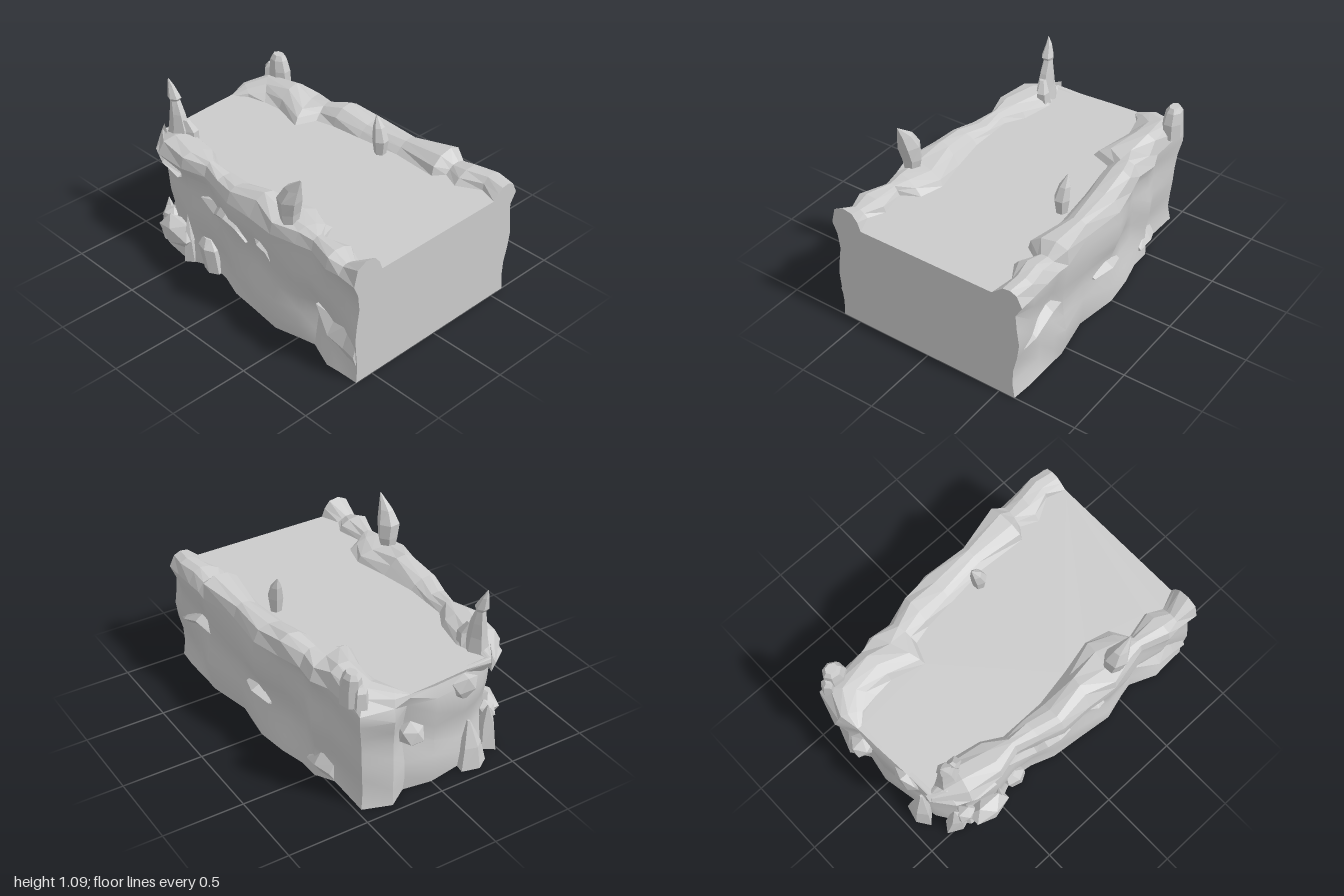
import * as THREE from 'three';
import { toCreasedNormals } from 'three/addons/utils/BufferGeometryUtils.js';

const FLOOR = 0.69;
const smoothMat = new THREE.MeshStandardMaterial({ color: 0xcccccc, side: THREE.DoubleSide });
const rockMat = new THREE.MeshStandardMaterial({ color: 0xcccccc, side: THREE.DoubleSide, flatShading: true });
const lerp = THREE.MathUtils.lerp;

// Plan of the cliff, running front -> left end -> back:
// outer x, z and inner x, z, then an optional undercut of the wall
const plan = [
  [1, 0.65, 1, 0.44], [0.87, 0.63, 0.88, 0.49], [0.78, 0.64, 0.78, 0.44], [0.61, 0.59, 0.61, 0.48], [0.5, 0.62, 0.55, 0.37],
  [0.34, 0.65, 0.4, 0.33], [0.15, 0.62, 0.18, 0.38], [-0.05, 0.61, -0.05, 0.42], [-0.2, 0.57, -0.2, 0.42],
  [-0.34, 0.54, -0.34, 0.42], [-0.5, 0.58, -0.46, 0.35], [-0.72, 0.57, -0.66, 0.31, 0.03], [-0.89, 0.42, -0.85, 0.37, 0.07],
  [-0.89, 0.22, -0.86, 0.22, -0.01], [-0.91, 0, -0.88, 0, -0.03], [-0.92, -0.18, -0.88, -0.18, 0.02], [-0.95, -0.3, -0.82, -0.23, -0.03],
  [-0.92, -0.5, -0.7, -0.26], [-0.61, -0.51, -0.58, -0.27], [-0.5, -0.56, -0.37, -0.21], [-0.36, -0.54, -0.32, -0.34],
  [-0.2, -0.58, -0.2, -0.37], [0, -0.63, 0, -0.39], [0.28, -0.61, 0.28, -0.42], [0.56, -0.66, 0.58, -0.4],
  [0.64, -0.64, 0.63, -0.47], [0.75, -0.64, 0.74, -0.42], [0.88, -0.65, 0.88, -0.5], [1, -0.66, 1, -0.46, 0.02],
];
// Wall rows: height, inset from the rim outline
const wallRows = [[0, -0.03], [0.1, -0.035], [0.2, -0.04], [0.3, -0.04], [0.4, -0.03], [0.5, -0.02], [0.6, -0.01], [0.67, 0]];
// Rim rows: share of the way inward, share of the rise above the floor
const rimRows = [[0.12, 0.72], [0.36, 1], [0.66, 0.9], [0.87, 0.5], [1, 0]];

function column([ox, oz, ix, iz, undercut = 0], i) {
  const width = Math.hypot(ox - ix, oz - iz);
  const dx = (ox - ix) / width, dz = (oz - iz) / width;
  // Wide rims stand tall and bumpy, the narrow left end stays level
  const bump = width > 0.1 ? 0.025 * Math.cos(i * 2.1) : 0;
  const rise = Math.max(0, Math.min(0.085, 0.55 * (width - 0.05))) + bump;
  const wall = wallRows.map(([y, inset], j) => {
    const wobble = 0.016 * Math.sin(i * 1.3 + j * 0.8) + 0.012 * Math.sin(i * 0.7 - j * 1.5);
    const d = j < 7 ? inset + wobble - undercut : wobble * 0.4;
    return [ox + dx * d, y, oz + dz * d];
  });
  const rim = rimRows.map(([t, k], j) => {
    const s = j < 4 ? t + 0.07 * Math.sin(i * 2.3 + j * 0.9) : t;
    return [lerp(ox, ix, s), FLOOR + rise * k, lerp(oz, iz, s)];
  });
  return [...wall, ...rim];
}

// Joins rows of points into a skin; a closed skin also wraps and caps its rings
function skin(rings, closed) {
  const n = rings[0].length, idx = [];
  for (let i = 0; i < rings.length - 1; i++) {
    for (let j = 0; j < (closed ? n : n - 1); j++) {
      const a = i * n + j, b = i * n + (j + 1) % n;
      idx.push(a, b, b + n, a, b + n, a + n);
    }
  }
  if (closed) {
    const e = (rings.length - 1) * n;
    for (let j = 1; j < n - 1; j++) idx.push(0, j + 1, j, e, e + j, e + j + 1);
  }
  const g = new THREE.BufferGeometry();
  g.setAttribute('position', new THREE.Float32BufferAttribute(rings.flat(2), 3));
  g.setIndex(idx);
  g.computeVertexNormals();
  return g;
}

function createModel() {
  const model = new THREE.Group();
  const add = (name, geometry, material = rockMat) => {
    const mesh = new THREE.Mesh(geometry, material);
    mesh.name = name;
    model.add(mesh);
    return mesh;
  };

  // Smooth cliff walls, open underneath, with a chiselled rim on top
  const columns = plan.map(column);
  add('cliffWall', toCreasedNormals(skin(columns.map(c => c.slice(0, 8)), false), 0.6), smoothMat);
  add('cliffRim', skin(columns.map(c => c.slice(7)), false));

  // Flat ground between the rims
  const ground = new THREE.Shape(plan.map(p => new THREE.Vector2(p[2], -p[3])));
  add('ground', new THREE.ShapeGeometry(ground).rotateX(-Math.PI / 2).translate(0, FLOOR, 0), smoothMat);

  // Flat cut end
  const cut = [...columns[0], ...[...columns[columns.length - 1]].reverse()];
  const end = new THREE.Shape(cut.map(p => new THREE.Vector2(-p[2], p[1])));
  add('cutEnd', new THREE.ShapeGeometry(end).rotateY(Math.PI / 2).translate(1, 0, 0), smoothMat);

  // Standing stones: rings of [x, y, z, x radius, z radius], bottom to top
  const stone = (name, rings, sides = 6) => add(name, skin(rings.map(([x, y, z, rx, rz]) =>
    Array.from({ length: sides }, (_, j) => {
      const a = 0.4 - j / sides * Math.PI * 2;
      return [x + Math.cos(a) * rx, y, z + Math.sin(a) * rz];
    })), true));
  stone('frontLeftSpire', [[-0.74, 0.68, 0.39, 0.09, 0.07], [-0.74, 0.78, 0.39, 0.075, 0.05], [-0.75, 0.87, 0.39, 0.055, 0.04],
    [-0.765, 0.95, 0.39, 0.03, 0.03], [-0.765, 0.97, 0.395, 0.045, 0.04], [-0.785, 1.04, 0.4, 0.022, 0.02], [-0.795, 1.09, 0.41, 0.002, 0.002]]);
  stone('frontLeftSpireFoot', [[-0.67, 0.68, 0.36, 0.05, 0.05], [-0.66, 0.77, 0.36, 0.04, 0.04], [-0.69, 0.84, 0.38, 0.02, 0.02]], 5);
  stone('frontRightSpire', [[0.4, 0.74, 0.55, 0.05, 0.05], [0.4, 0.81, 0.55, 0.06, 0.065], [0.41, 0.9, 0.56, 0.075, 0.07],
    [0.44, 0.98, 0.56, 0.055, 0.04], [0.5, 1.06, 0.56, 0.003, 0.003]]);
  stone('backSpire', [[0.2, 0.68, -0.365, 0.035, 0.035], [0.2, 0.78, -0.365, 0.05, 0.048], [0.18, 0.86, -0.37, 0.035, 0.035],
    [0.155, 0.925, -0.375, 0.003, 0.003]]);
  stone('backLeftStump', [[-0.81, 0.7, -0.49, 0.08, 0.065], [-0.81, 0.8, -0.49, 0.075, 0.06], [-0.82, 0.87, -0.49, 0.06, 0.05],
    [-0.82, 0.9, -0.49, 0.04, 0.03]], 7);
  stone('cornerStone', [[-0.88, 0.7, -0.47, 0.045, 0.05], [-0.88, 0.8, -0.47, 0.035, 0.04], [-0.87, 0.83, -0.47, 0.02, 0.02]], 5);

  // Upright crystals at the foot of the front wall and left end
  stone('footCrystalA', [[-0.32, 0, 0.51, 0.07, 0.05], [-0.35, 0.16, 0.52, 0.08, 0.05], [-0.37, 0.21, 0.51, 0.04, 0.02]]);
  stone('footCrystalB', [[-0.5, 0, 0.53, 0.05, 0.06], [-0.49, 0.17, 0.55, 0.03, 0.04], [-0.5, 0.33, 0.55, 0.003, 0.003]], 5);
  stone('footCrystalC', [[-0.76, 0, 0.47, 0.1, 0.06], [-0.76, 0.15, 0.48, 0.06, 0.05], [-0.78, 0.28, 0.47, 0.003, 0.003]], 5);
  stone('footCrystalD', [[-0.89, 0, 0.28, 0.06, 0.1], [-0.88, 0.14, 0.28, 0.05, 0.07], [-0.86, 0.3, 0.27, 0.01, 0.01]], 5);

  // Boulders stuck in the walls: position, half sizes, turn
  const boulder = (name, x, y, z, sx, sy, sz, turn) => {
    const m = add(name, new THREE.IcosahedronGeometry(1));
    m.position.set(x, y, z);
    m.scale.set(sx, sy, sz);
    m.rotation.z = turn;
  };
  boulder('leftEndBoulder', -0.925, 0.43, -0.17, 0.08, 0.075, 0.08, 0.4);
  boulder('lowFrontBoulder', -0.59, 0.17, 0.56, 0.15, 0.1, 0.085, -0.1);
  boulder('lowFrontBoulderSmall', -0.72, 0.2, 0.5, 0.07, 0.06, 0.06, 0.3);
  boulder('leftEndUpperStone', -0.89, 0.58, 0.2, 0.05, 0.1, 0.1, 0.2);

  // Ledges: stations of [x, y, z, half height, reach]
  const ledge = (name, stations) => add(name, skin(stations.map(([x, y, z, t, d]) => {
    const ring = [[x, y - t, z], [x, y, z + d], [x, y + t, z]];
    return d > 0 ? ring.reverse() : ring;
  }).reverse(), true));
  ledge('frontArchLedge', [[-0.39, 0.5, 0.5, 0.005, 0.03], [-0.22, 0.49, 0.53, 0.06, 0.05], [-0.16, 0.53, 0.55, 0.06, 0.06],
    [-0.08, 0.55, 0.56, 0.06, 0.07], [0.01, 0.52, 0.56, 0.06, 0.06], [0.07, 0.44, 0.56, 0.01, 0.03]]);
  ledge('frontSmallLedge', [[0.16, 0.53, 0.58, 0.02, 0.02], [0.22, 0.53, 0.57, 0.05, 0.07], [0.28, 0.5, 0.57, 0.06, 0.06],
    [0.31, 0.39, 0.57, 0.01, 0.02]]);
  ledge('frontLowRidge', [[0.63, 0.31, 0.55, 0.005, 0.02], [0.78, 0.21, 0.57, 0.09, 0.06], [0.9, 0.19, 0.57, 0.14, 0.06],
    [0.99, 0.18, 0.58, 0.17, 0.06]]);
  ledge('frontCornerSlab', [[-0.9, 0.67, 0.38, 0.05, 0.03], [-0.8, 0.65, 0.44, 0.08, 0.09], [-0.68, 0.63, 0.51, 0.07, 0.07],
    [-0.54, 0.59, 0.55, 0.01, 0.03]]);
  ledge('backLowLedge', [[-0.08, 0.27, -0.57, 0.01, -0.02], [0.05, 0.3, -0.57, 0.03, -0.06], [0.18, 0.28, -0.57, 0.01, -0.02]]);
  ledge('backRightLedge', [[0.5, 0.38, -0.59, 0.01, -0.01], [0.7, 0.43, -0.58, 0.05, -0.07], [0.86, 0.36, -0.59, 0.06, -0.06],
    [0.98, 0.3, -0.59, 0.02, -0.02]]);
  ledge('backFootLedge', [[-0.62, 0.08, -0.48, 0.05, -0.03], [-0.52, 0.1, -0.5, 0.08, -0.05], [-0.42, 0.08, -0.52, 0.02, -0.02]]);

  return model;
}

export { createModel };
